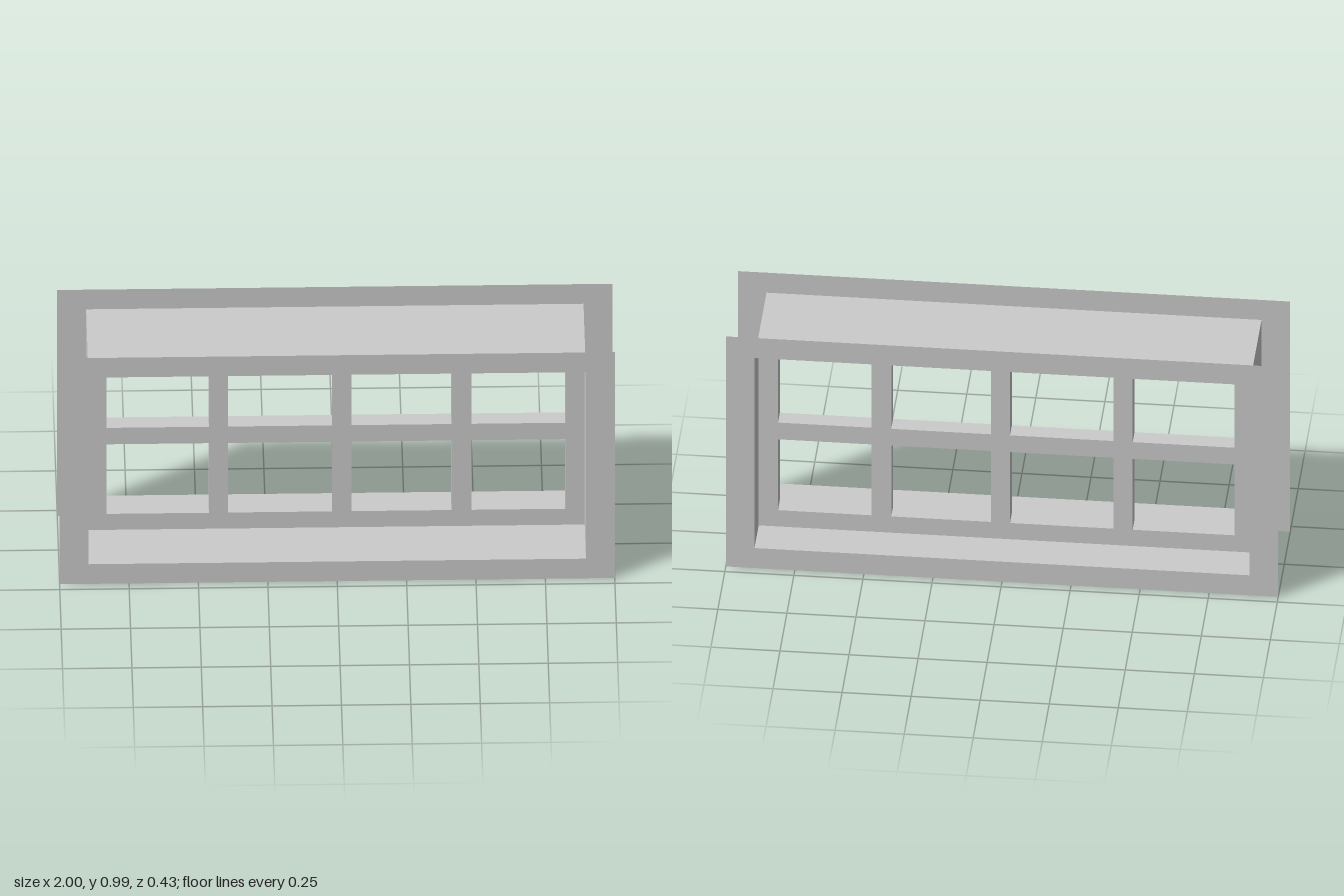
import * as THREE from 'three';

const material = new THREE.MeshStandardMaterial({
  color: 0xcccccc, flatShading: true, side: THREE.DoubleSide,
});

const CENTER_Y = 0.495;
const OUTER = [1, 0.495];        // flange half width, half height
const OPENING = [0.896, 0.409];  // sleeve half width, half height
const HALF_DEPTH = 0.216;
const GRID_DEPTH = 0.066;

// Pane openings: [left, right] columns and [bottom, top] rows
const COLUMNS = [[-0.827, -0.458], [-0.389, -0.014], [0.055, 0.416], [0.488, 0.826]];
const ROWS = [[-0.339, -0.034], [0.038, 0.341]];

function trace(path, x0, x1, y0, y1) {
  path.moveTo(x0, y0);
  path.lineTo(x1, y0);
  path.lineTo(x1, y1);
  path.lineTo(x0, y1);
  path.closePath();
  return path;
}

function rectangle(path, [w, h]) {
  return trace(path, -w, w, -h, h);
}

function addPart(group, name, geometry, x, y, z) {
  const mesh = new THREE.Mesh(geometry, material);
  mesh.name = name;
  mesh.position.set(x, y, z);
  group.add(mesh);
  return mesh;
}

export function createModel() {
  const model = new THREE.Group();
  model.name = 'window';

  // Thin flanges on both ends of the sleeve
  const flange = rectangle(new THREE.Shape(), OUTER);
  flange.holes.push(rectangle(new THREE.Path(), OPENING));
  const flangeGeometry = new THREE.ShapeGeometry(flange);
  addPart(model, 'frontFlange', flangeGeometry, 0, CENTER_Y, HALF_DEPTH);
  addPart(model, 'backFlange', flangeGeometry, 0, CENTER_Y, -HALF_DEPTH).rotation.y = Math.PI;

  // Four thin sheets lining the opening
  const [w, h] = OPENING;
  const sleeve = new THREE.Group();
  sleeve.name = 'sleeve';
  const level = new THREE.PlaneGeometry(2 * w, 2 * HALF_DEPTH).rotateX(-Math.PI / 2);
  const upright = new THREE.PlaneGeometry(2 * HALF_DEPTH, 2 * h).rotateY(Math.PI / 2);
  addPart(sleeve, 'head', level, 0, CENTER_Y + h, 0);
  addPart(sleeve, 'sill', level, 0, CENTER_Y - h, 0).rotation.z = Math.PI;
  addPart(sleeve, 'leftJamb', upright, w, CENTER_Y, 0);
  addPart(sleeve, 'rightJamb', upright, -w, CENTER_Y, 0).rotation.y = Math.PI;
  model.add(sleeve);

  // Sash with eight open panes, set behind the middle of the sleeve
  const sash = rectangle(new THREE.Shape(), OPENING);
  for (const [x0, x1] of COLUMNS) {
    for (const [y0, y1] of ROWS) sash.holes.push(trace(new THREE.Path(), x0, x1, y0, y1));
  }
  const sashGeometry = new THREE.ExtrudeGeometry(sash, { depth: GRID_DEPTH, bevelEnabled: false });
  addPart(model, 'sashGrid', sashGeometry, 0, CENTER_Y, -GRID_DEPTH);

  return model;
}
